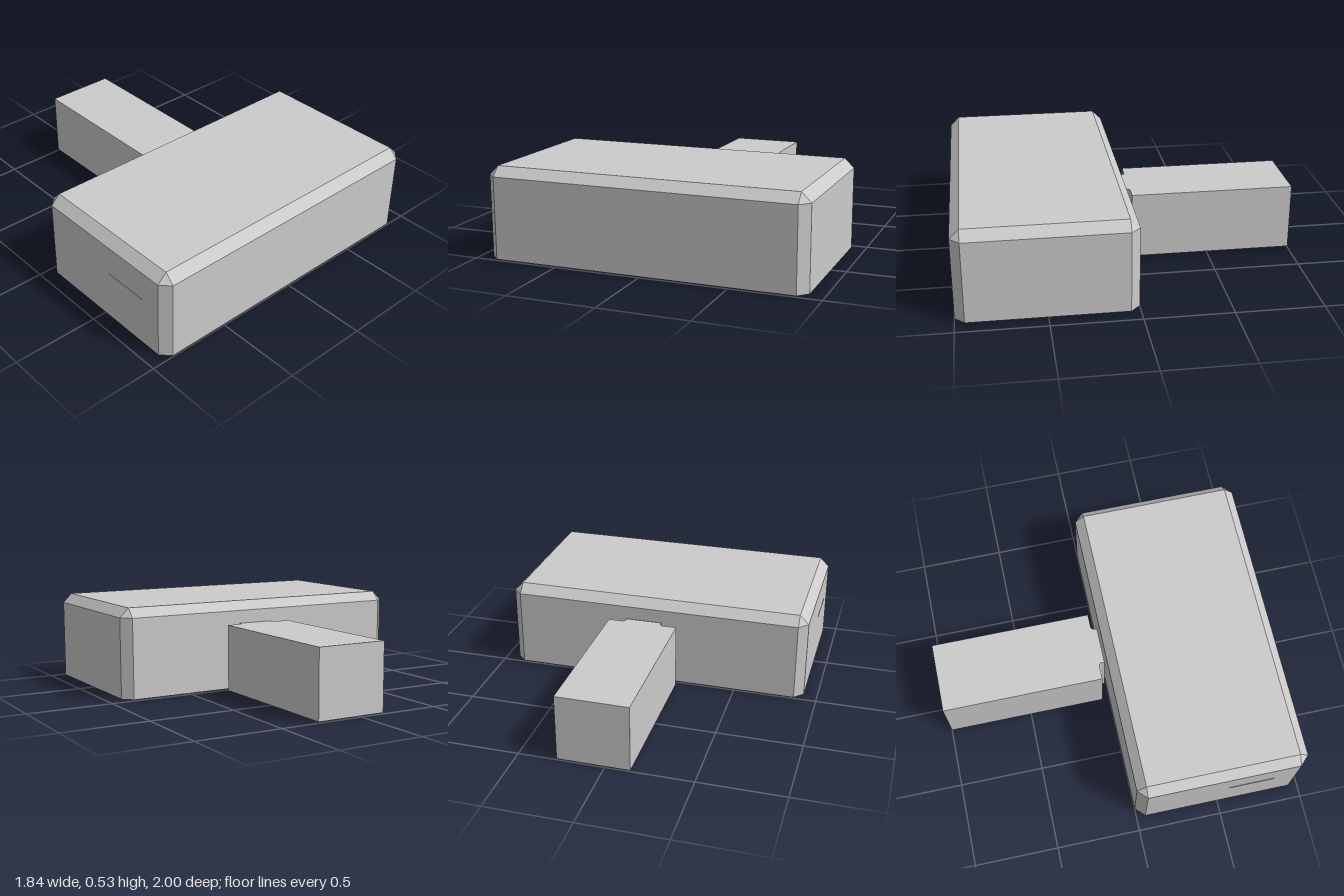
import * as THREE from 'three';
import { ConvexGeometry } from 'three/addons/geometries/ConvexGeometry.js';

const material = new THREE.MeshStandardMaterial({ color: 0xcccccc, flatShading: true });
const BASE = 0.007;

function add(group, name, geometry, x = 0, y = 0, z = 0) {
  const mesh = new THREE.Mesh(geometry, material);
  mesh.name = name;
  mesh.position.set(x, y, z);
  group.add(mesh);
  return mesh;
}

// Block with chamfered upright and top edges, flat underside
function chamferedBlock(w, h, d, c) {
  const points = [];
  for (const sx of [-1, 1]) {
    for (const sz of [-1, 1]) {
      const x = sx * w / 2, z = sz * d / 2;
      for (const y of [0, h - c]) {
        points.push(new THREE.Vector3(x, y, z - sz * c), new THREE.Vector3(x - sx * c, y, z));
      }
      points.push(new THREE.Vector3(x - sx * c, h, z - sz * c));
    }
  }
  return new ConvexGeometry(points);
}

export function createModel() {
  const model = new THREE.Group();
  model.name = 'model';

  add(model, 'body', chamferedBlock(1.84, 0.523, 1, 0.054), 0, BASE, 0.5);

  // Rear arm, set off centre
  const armHeight = 0.393, armX = 0.065;
  add(model, 'arm', new THREE.BoxGeometry(0.42, armHeight, 0.955), armX, BASE + armHeight / 2, -0.5225);

  // Neck between arm and body, with rounded shoulders (shape y becomes -z)
  const neck = new THREE.Shape();
  neck.moveTo(-0.11, 0.01);
  neck.lineTo(0.11, 0.01);
  neck.lineTo(0.11, 0.028);
  neck.quadraticCurveTo(0.112, 0.043, 0.13, 0.046);
  neck.lineTo(-0.13, 0.046);
  neck.quadraticCurveTo(-0.112, 0.043, -0.11, 0.028);
  const neckGeometry = new THREE.ExtrudeGeometry(neck, { depth: armHeight, bevelEnabled: false, curveSegments: 4 });
  neckGeometry.rotateX(-Math.PI / 2);
  add(model, 'neck', neckGeometry, armX, BASE, 0);

  // Small studs under the body
  const studs = [
    [0.6, 0.33], [0.49, 0.33], [0.58, 0.7], [0.48, 0.7],
    [-0.23, 0.13], [-0.55, 0.13], [-0.25, 0.7], [-0.57, 0.7],
  ];
  for (const [x, z] of studs) {
    add(model, 'baseStud', new THREE.CylinderGeometry(0.014, 0.014, 0.01, 10), x, 0.005, z);
  }

  // Thin raised strip on the right side of the body
  add(model, 'sideStrip', new THREE.BoxGeometry(0.004, 0.008, 0.27), -0.92, 0.3, 0.68);

  return model;
}
